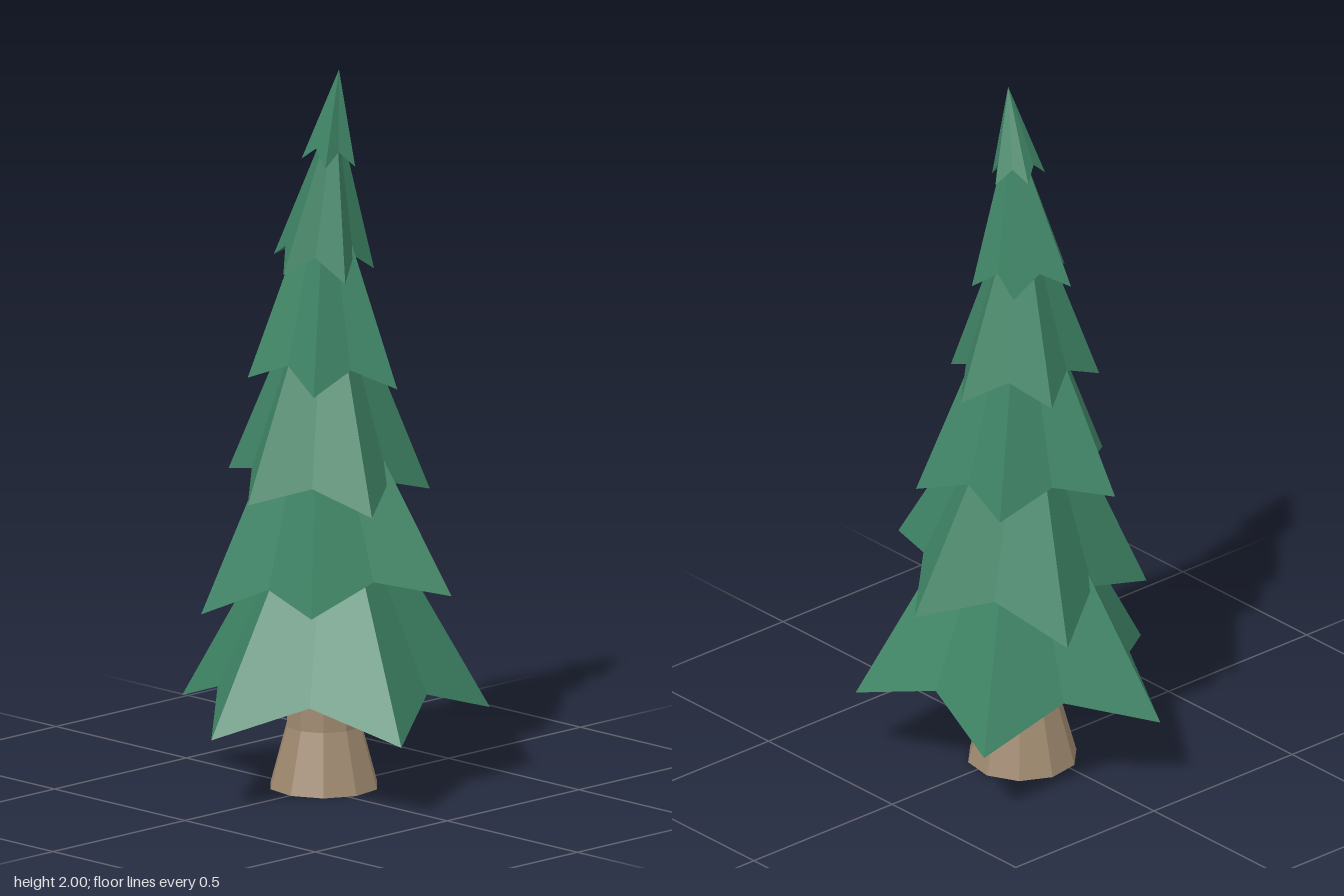
import * as THREE from 'three';

const green = new THREE.MeshStandardMaterial({ color: 0x3f8566, flatShading: true });
const brown = new THREE.MeshStandardMaterial({ color: 0xa08a70, flatShading: true });

// Five-pointed star cone: drooping tips, raised valleys, hollow underside, edge tilted along x
function starTier({ x, y, z, r, height, topX, tilt, lift, turn }) {
  const ring = [];
  for (let i = 0; i < 10; i++) {
    const a = turn + i * Math.PI / 5;
    const valley = i % 2 === 1;
    const radius = valley ? r * 0.68 : r;
    const dx = Math.sin(a) * radius, dz = Math.cos(a) * radius;
    ring.push([x + dx, y + (valley ? lift : 0) + tilt * dx, z + dz]);
  }
  const apex = [topX, y + height, z];
  const under = [x, y + lift * 1.75, z];
  const verts = [];
  for (let i = 0; i < 10; i++) {
    const p = ring[i], q = ring[(i + 1) % 10];
    verts.push(...p, ...q, ...apex, ...q, ...p, ...under);
  }
  const geo = new THREE.BufferGeometry();
  geo.setAttribute('position', new THREE.Float32BufferAttribute(verts, 3));
  geo.computeVertexNormals();
  return geo;
}

export function createModel() {
  const tree = new THREE.Group();
  tree.name = 'pineTree';

  // Trunk with a flared foot
  const profile = [[0, 0], [0.151, 0], [0.105, 0.17], [0.098, 0.4], [0, 0.4]]
    .map(([r, y]) => new THREE.Vector2(r, y));
  const trunk = new THREE.Mesh(new THREE.LatheGeometry(profile, 10, Math.PI / 20), brown);
  trunk.position.set(-0.02, 0, -0.047);
  trunk.name = 'trunk';
  tree.add(trunk);

  // Foliage tiers from the bottom up, each turned half a step from the one below
  const tiers = [
    { x: 0, y: 0.205, z: -0.042, r: 0.442, height: 0.78, topX: 0.01, tilt: 0, lift: 0.085 },
    { x: 0.02, y: 0.525, z: -0.042, r: 0.36, height: 0.74, topX: -0.035, tilt: 0.14, lift: 0.067 },
    { x: -0.01, y: 0.83, z: -0.037, r: 0.289, height: 0.7, topX: 0, tilt: -0.08, lift: 0.052 },
    { x: -0.007, y: 1.136, z: -0.044, r: 0.215, height: 0.6, topX: -0.01, tilt: -0.05, lift: 0.057 },
    { x: -0.025, y: 1.441, z: -0.042, r: 0.144, height: 0.46, topX: 0.03, tilt: -0.13, lift: 0.053 },
    { x: 0.01, y: 1.743, z: -0.04, r: 0.077, height: 0.257, topX: 0.045, tilt: -0.15, lift: 0.04 },
  ];
  tiers.forEach((t, i) => {
    const tier = new THREE.Mesh(starTier({ ...t, turn: i % 2 ? Math.PI : 0 }), green);
    tier.name = `foliageTier${i + 1}`;
    tree.add(tier);
  });

  return tree;
}
